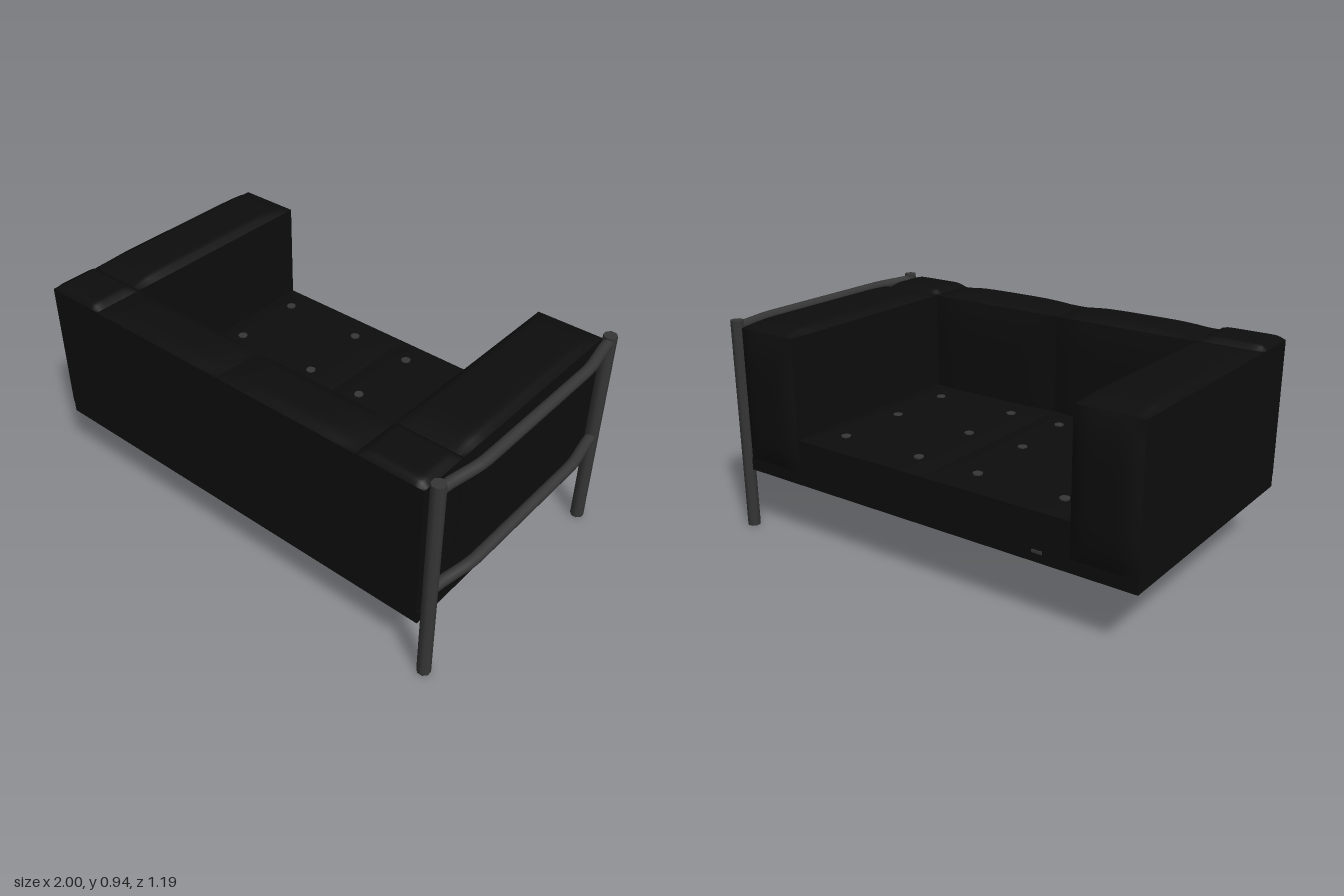
import * as THREE from 'three';

const fabric = new THREE.MeshStandardMaterial({ color: 0x0d0d0d });
fabric.name = 'black fabric';
const metal = new THREE.MeshStandardMaterial({ color: 0x363636 });
metal.name = 'dark grey metal';

// Box between two corners whose chosen faces swell outwards.
// bulge: { axis+sign: [amount, power] }, a high power gives a flat pad with a rolled edge.
function cushion(name, min, max, bulge = {}, n = 14) {
  const size = max.map((v, i) => v - min[i]);
  const geo = new THREE.BoxGeometry(...size, n, n, n);
  const p = geo.attributes.position, nor = geo.attributes.normal;
  for (let i = 0; i < p.count; i++) {
    const pos = [p.getX(i), p.getY(i), p.getZ(i)];
    const dir = [nor.getX(i), nor.getY(i), nor.getZ(i)];
    const axis = dir.findIndex((d) => Math.abs(d) > 0.5);
    const b = bulge['xyz'[axis] + (dir[axis] > 0 ? '+' : '-')];
    if (b) {
      let f = b[0];
      for (let k = 0; k < 3; k++) {
        if (k !== axis) f *= 1 - Math.abs(pos[k] / (size[k] / 2)) ** b[1];
      }
      pos[axis] += Math.sign(dir[axis]) * f;
    }
    p.setXYZ(i, ...pos.map((v, k) => v + (min[k] + max[k]) / 2));
  }
  geo.computeVertexNormals();
  const mesh = new THREE.Mesh(geo, fabric);
  mesh.name = name;
  return mesh;
}

export function createModel() {
  const sofa = new THREE.Group();
  sofa.name = 'sofa';

  // Base
  sofa.add(cushion('base', [-1, 0.27, -0.565], [0.918, 0.325, 0.592], {}, 1));

  // Arms, with padded ends, and the corner blocks behind them
  for (const [side, x0, x1] of [['right', -1, -0.722], ['left', 0.622, 0.912]]) {
    sofa.add(cushion(side + 'Arm', [x0, 0.325, -0.565], [x1, 0.91, 0.372],
      { 'y+': [0.028, 10], 'z-': [0.033, 4] }));
    sofa.add(cushion(side + 'Corner', [x0, 0.325, 0.377], [x1, 0.91, 0.595],
      { 'y+': [0.024, 10] }));
  }

  // Two seat cushions and two back cushions
  for (const [side, x0, x1] of [['right', -0.72, -0.045], ['left', -0.045, 0.62]]) {
    sofa.add(cushion(side + 'Seat', [x0, 0.325, -0.563], [x1, 0.472, 0.368],
      { 'y+': [0.014, 8] }));
    sofa.add(cushion(side + 'Back', [x0, 0.325, 0.374], [x1, 0.908, 0.595],
      { 'y+': [0.027, 4], 'z-': [0.022, 4] }));
  }

  // Seat buttons
  const buttonGeo = new THREE.CylinderGeometry(0.021, 0.021, 0.008, 8);
  for (const [z, inner] of [[-0.435, -0.22], [-0.105, -0.2], [0.2, -0.18]]) {
    for (const x of [-0.615, inner, 0.073, 0.468]) {
      const button = new THREE.Mesh(buttonGeo, metal);
      button.name = 'seatButton';
      button.position.set(x, 0.486, z);
      sofa.add(button);
    }
  }

  // Small plain tag on the base edge
  const tag = new THREE.Mesh(new THREE.BoxGeometry(0.045, 0.012, 0.006), metal);
  tag.name = 'tag';
  tag.position.set(-0.583, 0.314, -0.567);
  sofa.add(tag);

  // Side frame: two posts and two bowed rails
  const frame = new THREE.Group();
  frame.name = 'sideFrame';
  const postGeo = new THREE.CylinderGeometry(0.0285, 0.0285, 0.94, 8);
  postGeo.rotateY(Math.PI / 8);
  for (const z of [-0.561, 0.561]) {
    const post = new THREE.Mesh(postGeo, metal);
    post.name = 'post';
    post.position.set(0.944, 0.47, z);
    frame.add(post);
  }
  const bow = [[0.944, -0.56], [0.951, -0.5], [0.973, -0.38], [0.977, -0.33],
    [0.977, 0.33], [0.973, 0.38], [0.951, 0.5], [0.944, 0.56]];
  for (const y of [0.44, 0.91]) {
    const path = new THREE.CurvePath();
    const pts = bow.map(([x, z]) => new THREE.Vector3(x, y, z));
    for (let i = 1; i < pts.length; i++) path.add(new THREE.LineCurve3(pts[i - 1], pts[i]));
    const rail = new THREE.Mesh(new THREE.TubeGeometry(path, 40, 0.0235, 10), metal);
    rail.name = 'rail';
    frame.add(rail);
  }
  sofa.add(frame);

  return sofa;
}
